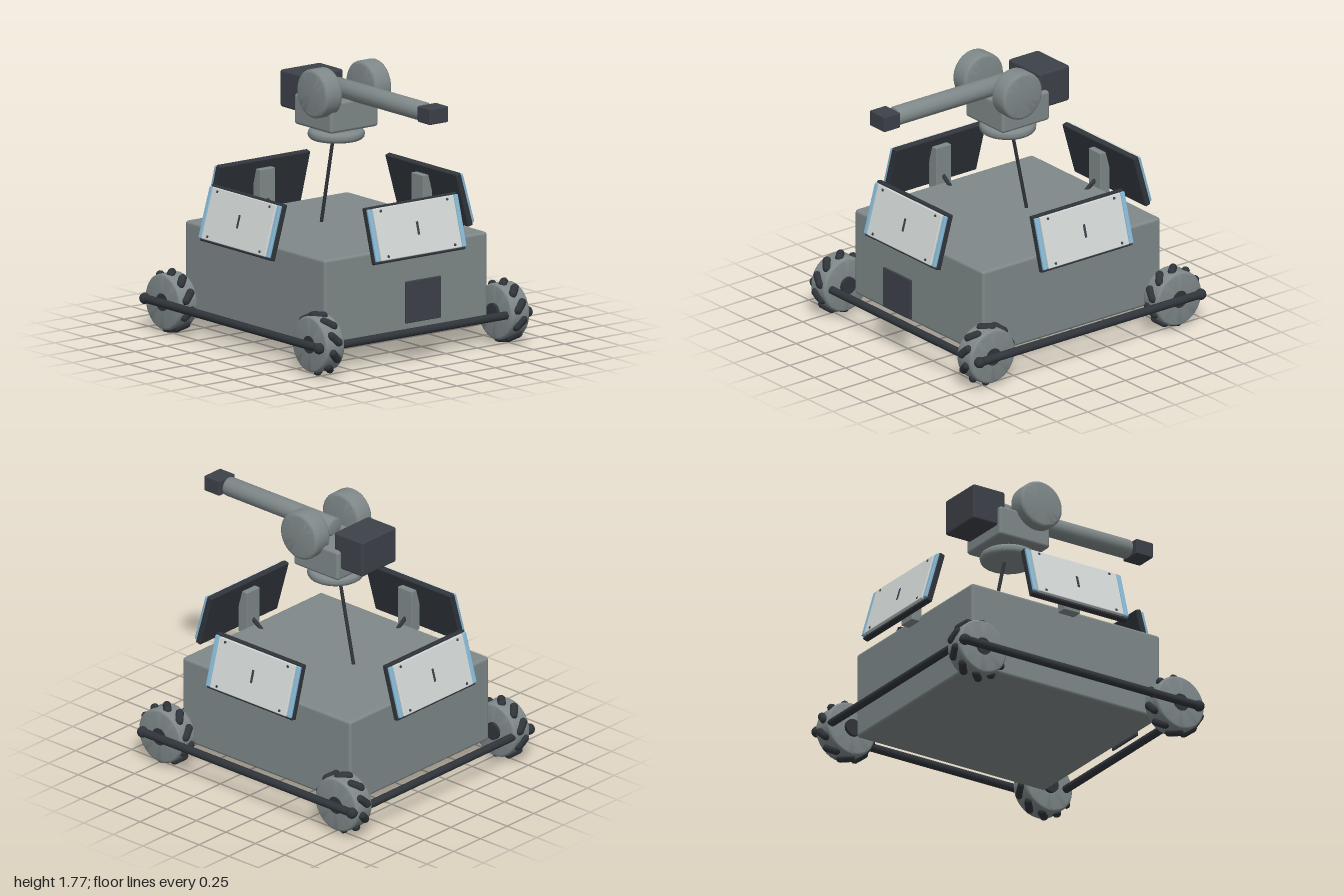
import * as THREE from 'three';
import { RoundedBoxGeometry } from 'three/addons/geometries/RoundedBoxGeometry.js';
import { toCreasedNormals } from 'three/addons/utils/BufferGeometryUtils.js';

const paint = (name, color) => {
  const m = new THREE.MeshStandardMaterial({ color });
  m.name = name;
  return m;
};

export function createModel() {
  const grey = paint('bodyGrey', 0x7f8889);
  const graphite = paint('graphite', 0x3d4149);
  const black = paint('railBlack', 0x30353b);
  const white = paint('panelWhite', 0xd3d8d7);
  const blue = paint('lightBlue', 0x86b9d6);

  const root = new THREE.Group();
  root.name = 'rover';
  const CX = -0.048; // chassis centre along x

  const add = (parent, name, geo, mat, x = 0, y = 0, z = 0) => {
    const mesh = new THREE.Mesh(geo, mat);
    mesh.name = name;
    mesh.position.set(x, y, z);
    parent.add(mesh);
    return mesh;
  };
  const box = (w, h, d, r = 0.012) => new RoundedBoxGeometry(w, h, d, 2, r);

  // Cylinder along y with a rounded rim
  const disc = (radius, height, round, segments = 32) => {
    const pts = [new THREE.Vector2(0, -height / 2)];
    for (const side of [-1, 1]) {
      for (let i = 0; i <= 4; i++) {
        const a = (side < 0 ? -Math.PI / 2 : 0) + (i * Math.PI) / 8;
        pts.push(new THREE.Vector2(radius - round + round * Math.cos(a),
          side * (height / 2 - round) + round * Math.sin(a)));
      }
    }
    pts.push(new THREE.Vector2(0, height / 2));
    return toCreasedNormals(new THREE.LatheGeometry(pts, segments), 0.6);
  };

  // Round bar between two points
  const bar = (parent, name, from, to, radius, mat) => {
    const a = new THREE.Vector3(...from), b = new THREE.Vector3(...to);
    const dir = b.clone().sub(a);
    const mesh = add(parent, name, new THREE.CylinderGeometry(radius, radius, dir.length(), 16), mat);
    mesh.position.copy(a).add(b).multiplyScalar(0.5);
    mesh.quaternion.setFromUnitVectors(new THREE.Vector3(0, 1, 0), dir.normalize());
    return mesh;
  };

  // Chassis and the thin hatch standing off its side
  add(root, 'chassis', box(1.425, 0.575, 1.3, 0.02), grey, CX, 0.4275, 0);
  add(root, 'sideHatch', box(0.016, 0.27, 0.28, 0.006), graphite, 0.835, 0.402, 0);

  // Wheels with slanted rollers
  const AXLE_Y = 0.205;
  const hubGeo = disc(0.18, 0.148, 0.018, 32);
  const rollerGeo = new THREE.CapsuleGeometry(0.027, 0.065, 4, 10);
  for (const sx of [-1, 1]) {
    for (const sz of [-1, 1]) {
      const wheel = new THREE.Group();
      wheel.name = 'wheel';
      wheel.position.set(-0.036 + sx * 0.747, AXLE_Y, sz * 0.738);
      add(wheel, 'wheelDrum', hubGeo, grey).rotation.x = Math.PI / 2;
      bar(wheel, 'axle', [0, 0, -sz * 0.095], [0, 0, sz * 0.079], 0.057, black);
      for (let i = 0; i < 10; i++) {
        const spoke = new THREE.Group();
        spoke.name = 'rollerMount';
        spoke.rotation.z = (i * Math.PI) / 5;
        const roller = add(spoke, 'roller', rollerGeo, black, 0, 0.177, 0);
        roller.rotation.set(Math.PI / 2, 0, sx * sz * Math.PI / 4);
        wheel.add(spoke);
      }
      root.add(wheel);
    }
  }

  // Bumper rails round the wheels
  const RX = [-0.936, 0.835], RZ = 0.83;
  for (const s of [-1, 1]) {
    bar(root, 'longRail', [RX[0], AXLE_Y, s * RZ], [RX[1], AXLE_Y, s * RZ], 0.027, black);
    for (const x of RX) add(root, 'railCorner', new THREE.SphereGeometry(0.036, 16, 12), black, x, AXLE_Y, s * RZ);
  }
  for (const x of RX) bar(root, 'crossRail', [x, AXLE_Y, -RZ], [x, AXLE_Y, RZ], 0.026, black);

  // Four tilted panels, each with bracket and cable
  const panelUnit = (turn, reach, bracketInner) => {
    const unit = new THREE.Group();
    unit.name = 'panelUnit';
    unit.position.x = CX;
    unit.rotation.y = turn;
    add(unit, 'bracket', box(0.12, 0.285, 0.075, 0.005), grey, 0, 0.815, bracketInner + 0.0375);
    bar(unit, 'cable', [0, 0.76, bracketInner + 0.01], [0, 0.706, bracketInner - 0.07], 0.013, black);
    const panel = new THREE.Group();
    panel.name = 'panel';
    panel.position.set(0, 0.845, reach);
    panel.rotation.x = -0.28;
    add(panel, 'panelBack', box(0.725, 0.365, 0.04, 0.008), black, 0, 0, -0.01);
    add(panel, 'panelFace', box(0.645, 0.335, 0.022, 0.006), white, 0, 0, 0.02);
    for (const s of [-1, 1]) {
      add(panel, 'lightStrip', box(0.032, 0.335, 0.02, 0.006), blue, s * 0.344, 0, 0.017);
      for (const t of [-1, 1]) {
        const screw = add(panel, 'screw', new THREE.CylinderGeometry(0.009, 0.009, 0.006, 12), graphite, s * 0.265, t * 0.145, 0.031);
        screw.rotation.x = Math.PI / 2;
      }
    }
    add(panel, 'centreSlot', new THREE.BoxGeometry(0.016, 0.085, 0.006), graphite, 0, 0, 0.031);
    unit.add(panel);
    root.add(unit);
  };
  for (let i = 0; i < 4; i++) {
    const along = i % 2 === 1;
    panelUnit((i * Math.PI) / 2, along ? 0.8 : 0.75, along ? 0.695 : 0.645);
  }

  // Turret on a thin leaning stalk
  bar(root, 'stalk', [-0.2, 0.71, 0], [-0.058, 1.38, 0], 0.011, black);
  add(root, 'turretDisc', disc(0.18, 0.066, 0.03, 32), grey, CX, 1.313, 0);
  add(root, 'turretBlock', box(0.38, 0.2, 0.38, 0.02), grey, CX, 1.465, 0);
  add(root, 'counterweight', box(0.24, 0.24, 0.32, 0.015), graphite, -0.299, 1.56, 0);
  for (const s of [-1, 1]) {
    add(root, 'sideDrum', disc(0.157, 0.133, 0.022, 32), grey, 0.033, 1.616, s * 0.196).rotation.x = Math.PI / 2;
  }
  const barrel = add(root, 'barrel', disc(0.062, 0.905, 0.012, 24), grey, 0.408, 1.615, 0);
  barrel.rotation.z = Math.PI / 2;
  add(root, 'barrelTip', box(0.128, 0.103, 0.15, 0.008), graphite, 0.935, 1.616, 0);

  return root;
}
